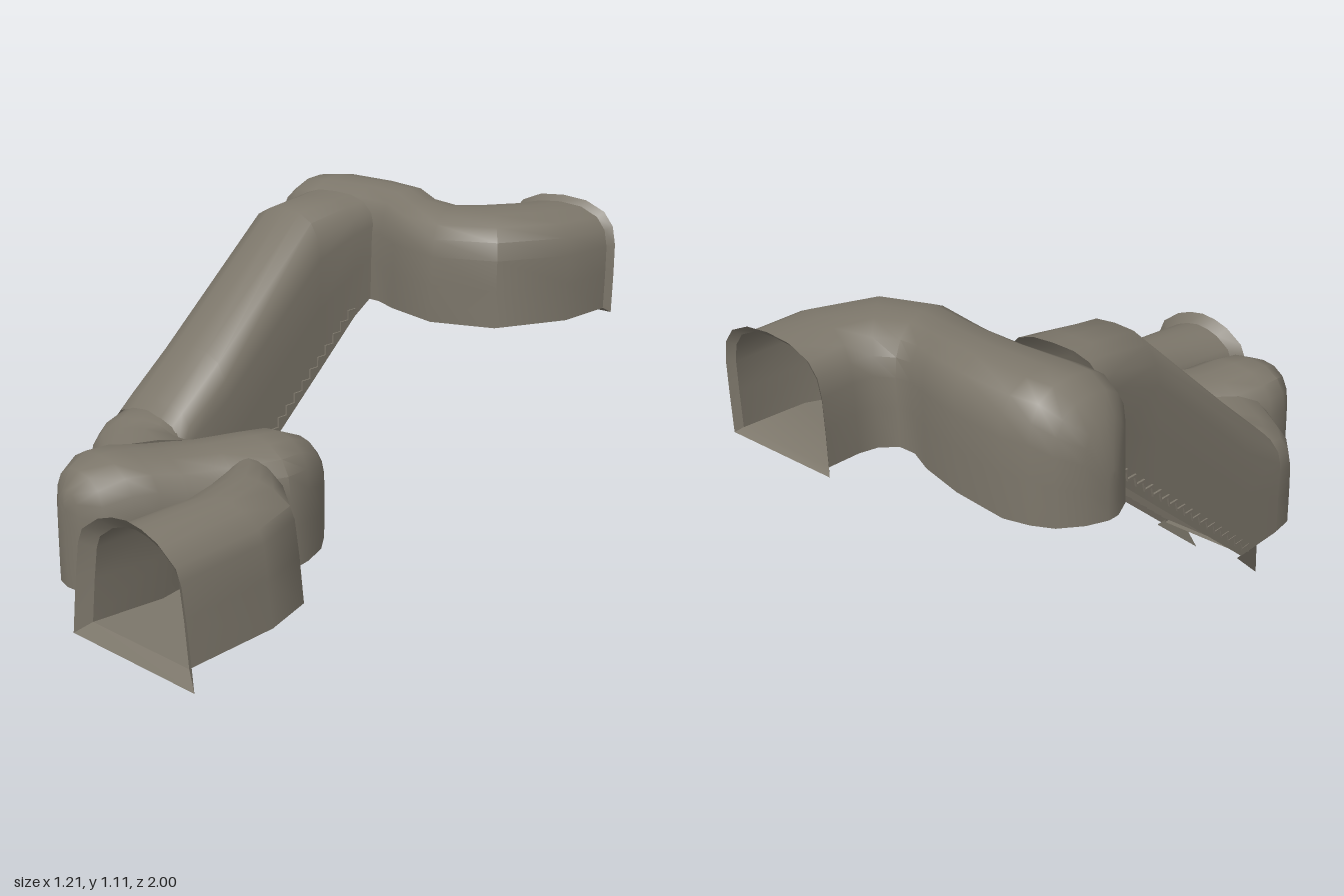
import * as THREE from 'three';
import { toCreasedNormals } from 'three/addons/utils/BufferGeometryUtils.js';

// Half arches as [width fraction, height fraction], from floor to crown
const ARCH = [[1, 0], [1, 0.35], [0.99, 0.62], [0.93, 0.78], [0.76, 0.9], [0.42, 0.98], [0, 1]];
const TAPERED = [[1, 0], [0.92, 0.4], [0.84, 0.7], [0.76, 0.81], [0.48, 0.93], [0.24, 0.98], [0, 1]];
const STEEP = [[1, 0], [1, 0.4], [1, 0.72], [0.94, 0.84], [0.74, 0.94], [0.42, 0.99], [0, 1]];

// Lofts arches between wall foot points: [x1, z1, x2, z2, floorY, topY]
function tunnel(name, material, sections, half, withFloor = true) {
  const profile = [
    ...half.map(([u, h]) => [-u, h]),
    ...half.slice(0, -1).reverse(),
  ];
  const n = profile.length;
  const pos = [], index = [];
  for (const [x1, z1, x2, z2, floor, top] of sections) {
    for (const [u, h] of profile) {
      const t = (u + 1) / 2;
      pos.push(x1 + (x2 - x1) * t, floor + (top - floor) * h, z1 + (z2 - z1) * t);
    }
  }
  for (let s = 0; s < sections.length - 1; s++) {
    for (let i = 0; i < (withFloor ? n : n - 1); i++) {
      const a = s * n + i, b = s * n + (i + 1) % n;
      index.push(a, b, a + n, b, b + n, a + n);
    }
  }
  const geo = new THREE.BufferGeometry();
  geo.setAttribute('position', new THREE.Float32BufferAttribute(pos, 3));
  geo.setIndex(index);
  const mesh = new THREE.Mesh(toCreasedNormals(geo, 0.75), material);
  mesh.name = name;
  return mesh;
}

export function createModel() {
  const group = new THREE.Group();
  const rock = new THREE.MeshStandardMaterial({ color: 0x7c766a, side: THREE.DoubleSide });
  rock.name = 'grey brown rock';

  // Upper passage: flared back mouth, bend, and rounded dead end
  const U = 0.73;
  group.add(tunnel('upperPassage', rock, [
    [0.145, -1, 0.572, -1, 0.715, 1.09],
    [0.17, -0.98, 0.552, -0.98, U, 1.07],
    [0.17, -0.87, 0.545, -0.76, U, 1.08],
    [0.155, -0.81, 0.43, -0.52, U, 1.085],
    [0.11, -0.77, 0.23, -0.44, U, 1.08],
    [0.05, -0.77, 0.03, -0.49, U, 1.085],
    [-0.04, -0.81, -0.06, -0.53, U, 1.105],
    [-0.2, -0.85, -0.2, -0.54, U, 1.108],
    [-0.39, -0.87, -0.4, -0.53, U, 1.108],
    [-0.47, -0.85, -0.48, -0.53, U, 1.1],
    [-0.53, -0.82, -0.53, -0.54, U, 1.06],
    [-0.58, -0.76, -0.58, -0.6, U, 1.01],
    [-0.607, -0.7, -0.607, -0.66, U, 0.87],
    [-0.608, -0.68, -0.608, -0.68, U, 0.85],
  ], ARCH));

  // Sloping passage, open below
  const ramp = new THREE.Group();
  ramp.name = 'slopingPassage';
  ramp.add(tunnel('slopeVault', rock, [
    [-0.44, 0.36, -0.115, 0.36, 0.15, 0.5],
    [-0.44, 0.32, -0.11, 0.32, 0.15, 0.54],
    [-0.44, 0.16, -0.11, 0.16, 0.15, 0.675],
    [-0.435, -0.28, -0.11, -0.28, 0.525, 1.06],
    [-0.435, -0.46, -0.11, -0.46, 0.68, 1.08],
    [-0.45, -0.54, -0.1, -0.54, 0.74, 1.085],
  ], STEEP, false));

  // Stairs: a zigzag strip just above the lower edge of the walls
  const steps = 17, z0 = 0.2, y0 = 0.145, run = 0.66 / steps, rise = 0.565 / steps;
  const line = new THREE.Shape();
  line.moveTo(0, 0);
  for (let i = 0; i < steps; i++) {
    line.lineTo(i * run, (i + 1) * rise);
    line.lineTo((i + 1) * run, (i + 1) * rise);
  }
  for (let i = steps; i > 0; i--) {
    line.lineTo(i * run, i * rise - 0.008);
    line.lineTo((i - 1) * run + 0.008, i * rise - 0.008);
  }
  const stairGeo = new THREE.ExtrudeGeometry(line, { depth: 0.338, bevelEnabled: false });
  stairGeo.rotateY(Math.PI / 2);
  const stairs = new THREE.Mesh(stairGeo, rock);
  stairs.name = 'stairs';
  stairs.position.set(-0.442, y0, z0);
  ramp.add(stairs);

  // Pointed wall feet below the lower floor
  for (const [name, outer, inner] of [['rightWallFoot', -0.438, -0.4], ['leftWallFoot', -0.11, -0.15]]) {
    const geo = new THREE.BufferGeometry();
    geo.setAttribute('position', new THREE.Float32BufferAttribute(
      [outer, 0.15, 0.25, inner, 0, 0.31, outer, 0.15, 0.14], 3));
    geo.computeVertexNormals();
    const foot = new THREE.Mesh(geo, rock);
    foot.name = name;
    ramp.add(foot);
  }
  group.add(ramp);

  // Lower bend from the slope into the chamber
  const F = 0.15;
  group.add(tunnel('lowerBend', rock, [
    [-0.43, 0.17, -0.12, 0.17, F, 0.45],
    [-0.44, 0.35, -0.115, 0.33, F, 0.51],
    [-0.43, 0.44, -0.09, 0.36, F, 0.49],
    [-0.37, 0.52, -0.03, 0.36, F, 0.485],
    [-0.2, 0.65, 0.04, 0.32, F, 0.49],
  ], ARCH));

  // Diagonal chamber with rounded ends
  group.add(tunnel('chamber', rock, [
    [0.2, 0.09, 0.2, 0.09, F, 0.4],
    [0.15, 0.105, 0.26, 0.11, F, 0.43],
    [0.1, 0.15, 0.31, 0.18, F, 0.49],
    [0.05, 0.23, 0.34, 0.27, F, 0.525],
    [0.01, 0.32, 0.35, 0.36, F, 0.53],
    [-0.07, 0.42, 0.27, 0.49, F, 0.515],
    [-0.16, 0.55, 0.2, 0.62, F, 0.515],
    [-0.2, 0.66, 0.165, 0.7, F, 0.53],
    [-0.2, 0.74, 0.13, 0.77, F, 0.53],
    [-0.16, 0.82, 0.08, 0.84, F, 0.5],
    [-0.1, 0.865, 0.01, 0.875, F, 0.45],
    [-0.05, 0.88, -0.05, 0.88, F, 0.42],
  ], ARCH));

  // Exit passage with flared front mouth
  group.add(tunnel('exitPassage', rock, [
    [0.14, 0.46, 0.26, 0.32, F, 0.49],
    [0.18, 0.53, 0.38, 0.385, F, 0.505],
    [0.19, 0.62, 0.52, 0.49, F, 0.51],
    [0.205, 0.74, 0.56, 0.66, F, 0.5],
    [0.17, 0.97, 0.555, 0.97, F, 0.485],
    [0.12, 1, 0.605, 1, 0.11, 0.52],
  ], TAPERED));

  return group;
}
